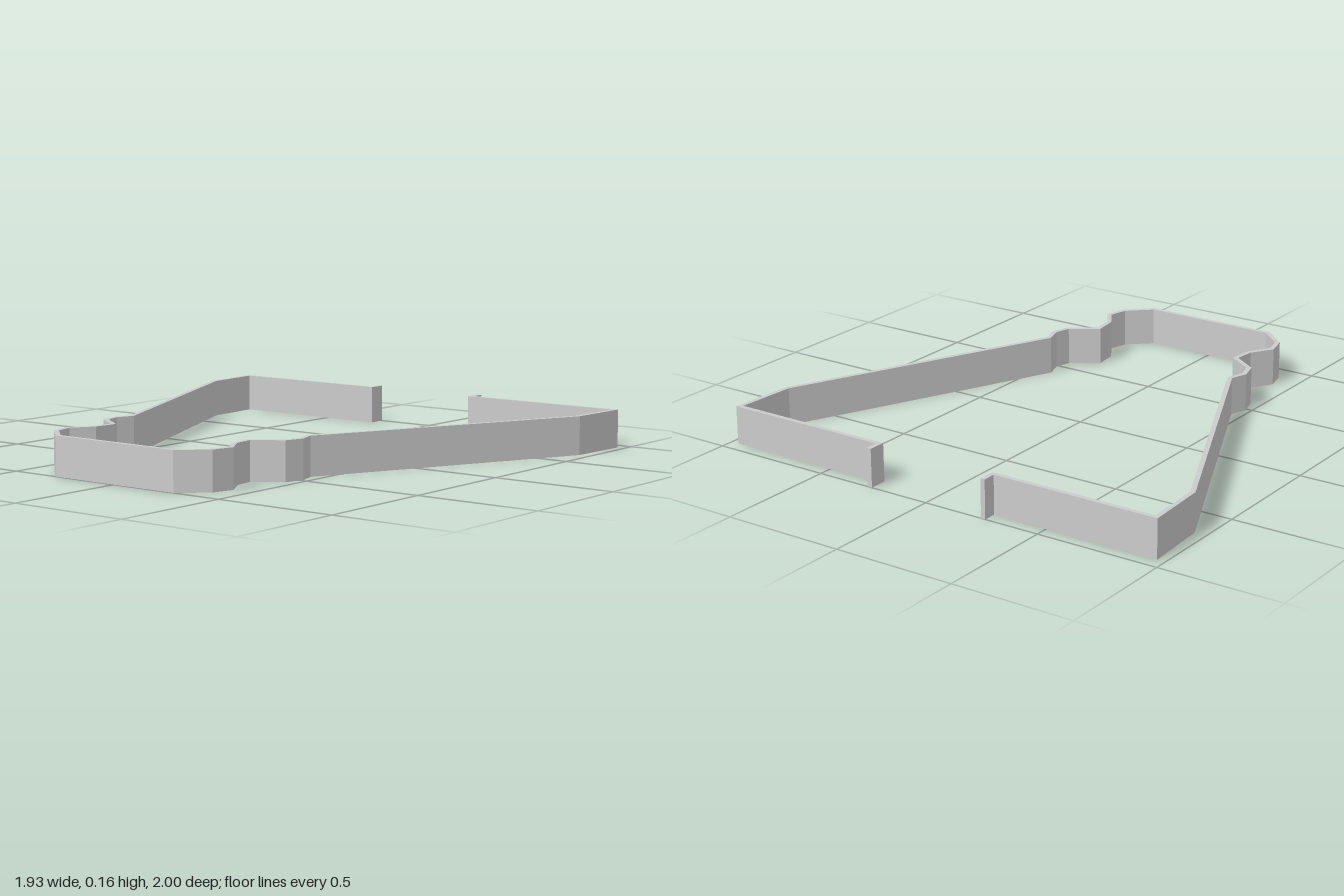
import * as THREE from 'three';

const HEIGHT = 0.155;
const THICKNESS = 0.019;

// Outer edge of the left (+x) half as [x, z], from the back tab to the front wall
const HALF = [
  [0.271, -1], [0.271, -0.946], [0.967, -0.946], [0.952, -0.675],
  [0.453, 0.415], [0.477, 0.487], [0.455, 0.565], [0.348, 0.64],
  [0.358, 0.725], [0.415, 0.815], [0.393, 0.905], [0.29, 1],
];

// Offset an open path sideways by a fixed distance, with mitred corners
function offsetPath(points, distance) {
  const normals = points.slice(1).map((p, i) => {
    const d = p.clone().sub(points[i]).normalize();
    return new THREE.Vector2(-d.y, d.x);
  });
  return points.map((p, i) => {
    const a = normals[Math.max(i - 1, 0)];
    const b = normals[Math.min(i, normals.length - 1)];
    return a.clone().add(b).multiplyScalar(distance / (1 + a.dot(b))).add(p);
  });
}

export function createModel() {
  const group = new THREE.Group();
  group.name = 'outlineCutter';

  // Mirror the half into one continuous open outline
  const outer = [
    ...HALF.map(([x, z]) => new THREE.Vector2(x, z)),
    ...HALF.slice().reverse().map(([x, z]) => new THREE.Vector2(-x, z)),
  ];
  const inner = offsetPath(outer, THICKNESS);

  // Thin band between both edges, extruded upwards
  const loop = [...outer, ...inner.reverse()].map((p) => new THREE.Vector2(p.x, -p.y));
  const geometry = new THREE.ExtrudeGeometry(new THREE.Shape(loop), {
    depth: HEIGHT, bevelEnabled: false,
  });
  geometry.rotateX(-Math.PI / 2);

  const band = new THREE.Mesh(
    geometry,
    new THREE.MeshStandardMaterial({ color: 0xcccccc, flatShading: true }),
  );
  band.name = 'bandWall';
  group.add(band);
  return group;
}
